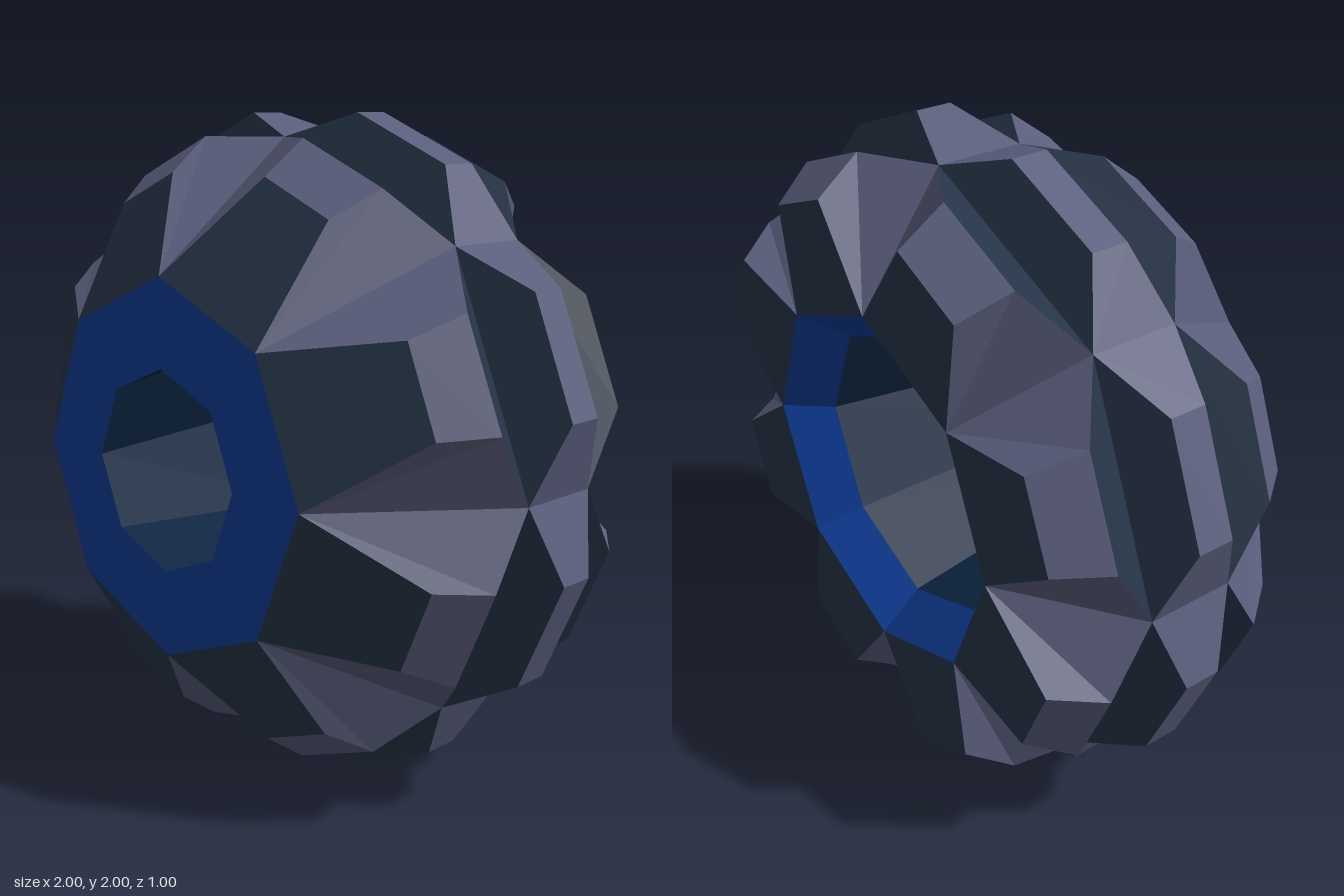
import * as THREE from 'three';

const SIDES = 8;
const COS = Math.cos(Math.PI / SIDES), SIN = Math.sin(Math.PI / SIDES);

// A cross-wise edge of one of the eight sectors: distance from the axis, half width, depth
const edge = (apothem, half, z) => ({ apothem, half, z });
// The same, spanning the full sector at corner radius r
const ringEdge = (r, z) => edge(r * COS, r * SIN, z);

const materials = {
  lightPanel: new THREE.MeshStandardMaterial({ color: 0x5a5e7c }),
  darkPanel: new THREE.MeshStandardMaterial({ color: 0x263548 }),
  blueTrim: new THREE.MeshStandardMaterial({ color: 0x0d3b96 }),
  innerNavy: new THREE.MeshStandardMaterial({ color: 0x0c2440 }),
};
for (const [name, m] of Object.entries(materials)) m.name = name;

// Repeats quads given as [edge, side] corners around the axis, flat shaded
function sectorMesh(name, material, quads) {
  const pos = [];
  for (let k = 0; k < SIDES; k++) {
    const t = ((k + 0.5) * 2 * Math.PI) / SIDES, c = Math.cos(t), s = Math.sin(t);
    for (const q of quads) {
      for (const i of [0, 1, 2, 0, 2, 3]) {
        const [e, side] = q[i];
        const h = e.half * side;
        pos.push(e.apothem * c - h * s, e.apothem * s + h * c, e.z);
      }
    }
  }
  const g = new THREE.BufferGeometry();
  g.setAttribute('position', new THREE.Float32BufferAttribute(pos, 3));
  g.computeVertexNormals();
  const mesh = new THREE.Mesh(g, material);
  mesh.name = name;
  return mesh;
}

const strip = (low, high) => [[low, -1], [low, 1], [high, 1], [high, -1]];

// A row of raised blocks: base edges at back and front, raised top edges between them
function blockRow(name, baseBack, topBack, topFront, baseFront, splitFromFront) {
  const right = [[baseBack, 1], [baseFront, 1], [topFront, 1], [topBack, 1]];
  const left = [[baseBack, -1], [topBack, -1], [topFront, -1], [baseFront, -1]];
  if (splitFromFront) {
    right.push(right.shift());
    left.unshift(left.pop());
  }
  const row = new THREE.Group();
  row.name = name;
  row.add(
    sectorMesh(name + 'TopsAndSides', materials.lightPanel, [strip(topBack, topFront), right, left]),
    sectorMesh(name + 'Slopes', materials.darkPanel, [strip(baseBack, topBack), strip(topFront, baseFront)]),
  );
  return row;
}

export function createModel() {
  const model = new THREE.Group();
  model.name = 'facetedRing';

  const frontRim = ringEdge(0.56, 0.5), frontValley = ringEdge(0.93, 0.025);
  const backValley = ringEdge(0.93, -0.24), backRim = ringEdge(0.56, -0.5);
  const frontHole = ringEdge(0.3, 0.5), backThroat = ringEdge(0.45, -0.37);

  // Outer blocks
  model.add(
    blockRow('frontBlocks', frontValley, edge(0.94, 0.162, 0.15), edge(0.843, 0.133, 0.285), frontRim, true),
    blockRow('middleRib', backValley, edge(1.008, 0.178, -0.163), edge(1.008, 0.178, -0.052), frontValley, false),
    blockRow('backBlocks', backRim, edge(0.843, 0.133, -0.5), edge(0.94, 0.162, -0.365), backValley, false),
  );

  // Front plate, tapering bore and rear bevel
  model.add(
    sectorMesh('frontPlate', materials.blueTrim, [strip(frontRim, frontHole)]),
    sectorMesh('bore', materials.innerNavy, [strip(frontHole, backThroat)]),
    sectorMesh('rearBevel', materials.blueTrim, [strip(backThroat, backRim)]),
  );

  model.position.y = 1;
  const root = new THREE.Group();
  root.name = 'model';
  root.add(model);
  return root;
}
